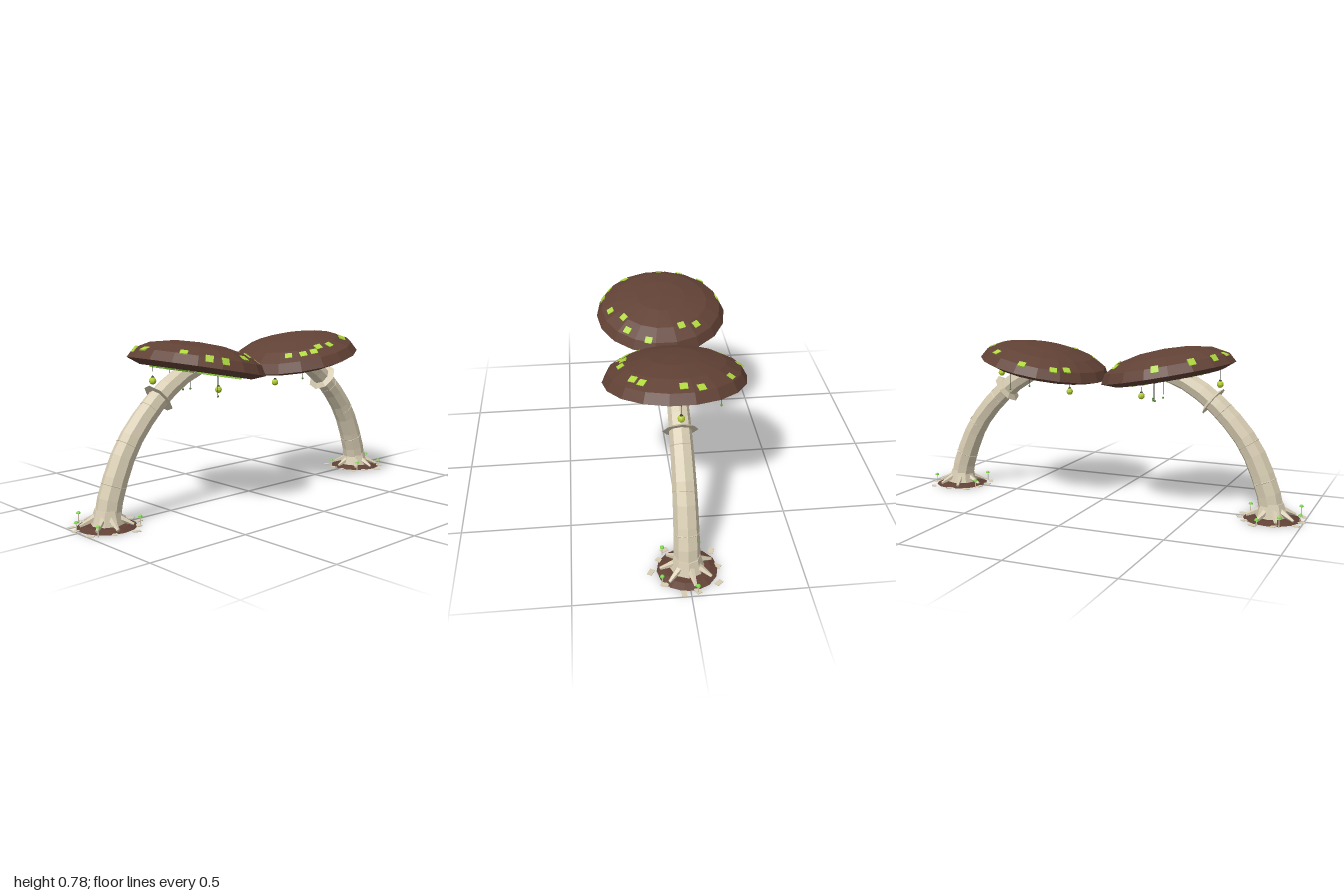
import * as THREE from 'three';

const mat = (name, color) => {
  const m = new THREE.MeshStandardMaterial({ color, flatShading: true });
  m.name = name;
  return m;
};
const M = {
  brown: mat('brown', 0x614135),
  bone: mat('bone', 0xd7ccb2),
  gill: mat('gillGreen', 0x86cc36),
  spot: mat('spotGreen', 0xb0d940),
  lantern: mat('lanternGreen', 0xb4cf32),
  drop: mat('dropGreen', 0x5f9440),
  sprout: mat('sproutGreen', 0x7ad846),
  thread: mat('threadDark', 0x33382a),
};

function add(parent, name, geo, material, pos = [0, 0, 0], rotZ = 0) {
  const mesh = new THREE.Mesh(geo, material);
  mesh.name = name;
  mesh.position.set(...pos);
  mesh.rotation.z = rotZ;
  parent.add(mesh);
  return mesh;
}

const BASE_X = 0.837, CAP = [0.32, 0.655], TILT = 0.19, SIDES = 18;
const DOME = [[0.325, 0], [0.3, 0.045], [0.23, 0.083], [0.12, 0.107], [0, 0.114]];

// Bent stalk path, rising from the ground and leaning inward
const path = new THREE.CatmullRomCurve3([[0.837, 0.02], [0.822, 0.1], [0.725, 0.33], [0.58, 0.5], [0.43, 0.61], [0.32, 0.655]]
  .map(([x, y]) => new THREE.Vector3(x, y, 0)));
const stemRadius = (t) => 0.059 - 0.014 * t;

// Point, tilt and radius where the stalk reaches a height
function stemAt(y) {
  let u = 0;
  while (u < 1 && path.getPointAt(u).y < y) u += 0.002;
  const p = path.getPointAt(u), t = path.getTangentAt(u);
  return { pos: [p.x, p.y, 0], rot: Math.atan2(-t.x, t.y), r: stemRadius(u) };
}

function buildStem(g) {
  // Tapered eight-sided tube
  const rows = 9, geo = new THREE.TubeGeometry(path, rows, 1, 8, false);
  const p = geo.attributes.position, v = new THREE.Vector3();
  for (let i = 0; i < p.count; i++) {
    const t = Math.floor(i / 9) / rows, c = path.getPointAt(t);
    v.fromBufferAttribute(p, i).sub(c).multiplyScalar(stemRadius(t)).add(c);
    p.setXYZ(i, v.x, v.y, v.z);
  }
  add(g, 'stem', geo, M.bone);
  add(g, 'stemFlare', new THREE.CylinderGeometry(0.057, 0.08, 0.078, 8), M.bone, [BASE_X - 0.004, 0.039, 0]);
  // Growth rings, barely proud of the stalk
  for (const y of [0.172, 0.34, 0.485]) {
    const s = stemAt(y);
    add(g, 'stemRing', new THREE.TorusGeometry(s.r, 0.002, 4, 8).rotateX(Math.PI / 2), M.bone, s.pos, s.rot);
  }
  // Collar skirt
  const c = stemAt(0.535);
  add(g, 'collar', new THREE.CylinderGeometry(0.05, 0.079, 0.014, 8), M.bone, c.pos, c.rot);
}

function buildCap(g, spots) {
  const cap = new THREE.Group();
  cap.name = 'cap';
  cap.position.set(CAP[0], CAP[1], 0);
  cap.rotation.z = TILT;
  g.add(cap);
  const profile = [[0.262, -0.024], ...DOME].map(([x, y]) => new THREE.Vector2(x, y));
  add(cap, 'capDome', new THREE.LatheGeometry(profile, SIDES), M.brown);
  add(cap, 'capUnderside', new THREE.CircleGeometry(0.264, SIDES).rotateX(Math.PI / 2), M.gill, [0, -0.023, 0]);
  // Radial gills
  const count = 22;
  for (let i = 0; i < count; i++) {
    const gill = add(cap, 'gill', new THREE.BoxGeometry(0.16, 0.009, 0.005).translate(0.135, 0, 0), M.gill, [0, -0.026, 0]);
    gill.rotation.y = (i + 0.5) / count * Math.PI * 2;
  }
  // Glowing spots lying on the dome facets
  const step = Math.PI * 2 / SIDES, sin = Math.sin(TILT), cos = Math.cos(TILT);
  for (const [dx, dz] of spots) {
    let x = dx, y = 0.06, am = 0, seg = 0;
    for (let k = 0; k < 8; k++) {
      x = (dx + y * sin) / cos;
      const a = Math.atan2(x, dz);
      am = (Math.floor(a / step) + 0.5) * step;
      const r = Math.min(0.322, Math.hypot(x, dz) * Math.cos(a - am) / Math.cos(step / 2));
      seg = DOME.findIndex((d, i) => i < 4 && r >= DOME[i + 1][0]);
      const [r0, y0] = DOME[seg], [r1, y1] = DOME[seg + 1];
      y = y0 + (y1 - y0) * (r0 - r) / (r0 - r1);
    }
    const dr = DOME[seg][0] - DOME[seg + 1][0], dy = DOME[seg + 1][1] - DOME[seg][1];
    const plate = new THREE.BoxGeometry(0.035, 0.006, 0.033).rotateX(Math.atan2(dy, dr)).rotateY(am);
    add(cap, 'glowSpot', plate, M.spot, [x, y, dz]);
  }
}

const underside = (x) => CAP[1] - 0.023 + (x - CAP[0]) * Math.tan(TILT);

function hang(g, x, y, z) {
  const top = underside(x) + 0.005;
  add(g, 'thread', new THREE.CylinderGeometry(0.0012, 0.0012, top - y, 4), M.thread, [x, (top + y) / 2, z]);
}

function buildHanging(g, drops) {
  // Faceted lanterns
  for (const [x, y] of [[0.575, 0.612], [0.185, 0.535]]) {
    hang(g, x, y, 0);
    add(g, 'lantern', new THREE.SphereGeometry(0.0165, 10, 6), M.lantern, [x, y, 0]);
    add(g, 'lanternTop', new THREE.CylinderGeometry(0.004, 0.008, 0.006, 6), M.thread, [x, y + 0.018, 0]);
  }
  // Small drops
  for (const [x, y, z] of drops) {
    hang(g, x, y, z);
    add(g, 'drop', new THREE.SphereGeometry(0.0055, 6, 5), M.drop, [x, y, z]);
  }
}

function buildBase(g, sprouts, turn) {
  const base = new THREE.Group();
  base.name = 'base';
  base.position.x = BASE_X;
  g.add(base);
  add(base, 'soil', new THREE.CylinderGeometry(0.1, 0.133, 0.013, 14), M.brown, [0, 0.007, 0]);
  // Tapering roots
  for (let i = 0; i < 7; i++) {
    const root = new THREE.Group();
    root.name = 'root';
    root.rotation.y = turn + i * Math.PI * 2 / 7 + 0.12 * Math.sin(i * 5);
    base.add(root);
    add(root, 'rootWedge', new THREE.CylinderGeometry(0.007, 0.018, 0.085, 5), M.bone, [0.079, 0.029, 0], -Math.PI / 2 - 0.42);
  }
  // Flat chips scattered round the soil
  for (let i = 0; i < 11; i++) {
    const a = turn + i * 0.571 + 0.2 * Math.sin(i * 7), r = 0.145 + 0.014 * Math.sin(i * 3.7 + turn);
    const chip = add(base, 'chip', new THREE.BoxGeometry(0.034, 0.003, 0.022), M.bone,
      [r * Math.cos(a), 0.002, r * Math.sin(a)]);
    chip.rotation.y = i * 1.3;
  }
  // Tiny sprouting mushrooms
  for (const [x, z, h] of sprouts) {
    add(base, 'sproutStalk', new THREE.CylinderGeometry(0.002, 0.003, h, 5), M.bone, [x, h / 2, z]);
    add(base, 'sproutCap', new THREE.SphereGeometry(0.0105, 7, 3, 0, Math.PI * 2, 0, Math.PI / 2), M.sprout, [x, h, z]);
    add(base, 'sproutCapBottom', new THREE.CircleGeometry(0.0105, 7).rotateX(Math.PI / 2), M.sprout, [x, h, z]);
  }
}

function buildMushroom(name, d) {
  const g = new THREE.Group();
  g.name = name;
  buildStem(g);
  buildCap(g, d.spots);
  buildHanging(g, d.drops);
  buildBase(g, d.sprouts, d.turn);
  return g;
}

export function createModel() {
  const model = new THREE.Group();
  model.name = 'mushroomArch';
  const left = buildMushroom('leftMushroom', {
    turn: 0.2,
    spots: [[-0.03, -0.295], [-0.17, -0.245], [-0.215, -0.195], [0.145, -0.225], [0.25, -0.085], [0.246, -0.01],
      [0.187, 0.16], [0.15, 0.195], [0, 0.24], [-0.064, 0.225], [-0.107, 0.235], [-0.155, 0.21], [-0.205, 0.16]],
    drops: [[0.23, 0.565, 0.148], [0.345, 0.57, -0.125], [0.41, 0.56, -0.2]],
    sprouts: [[0.142, -0.03, 0.036], [-0.125, -0.065, 0.035], [-0.1, 0.1, 0.042], [0.07, 0.115, 0.034]],
  });
  // The partner is turned to face it, so the arch closes at the middle
  const right = buildMushroom('rightMushroom', {
    turn: 0.6,
    spots: [[0.04, 0.295], [0.187, 0.225], [0.26, 0.123], [0.28, 0.02], [-0.205, 0.155], [-0.225, 0.08], [-0.28, -0.085],
      [-0.21, -0.182], [-0.14, -0.195], [-0.06, -0.257], [0.08, -0.29], [0.144, -0.257], [0.214, -0.17]],
    drops: [[0.3, 0.535, 0.125], [0.265, 0.52, -0.085], [0.28, 0.54, 0.095], [0.32, 0.55, 0.2]],
    sprouts: [[0.115, -0.105, 0.042], [0.135, 0.03, 0.036], [-0.12, -0.08, 0.035], [0.06, 0.13, 0.042], [-0.04, 0.138, 0.024]],
  });
  right.rotation.y = Math.PI;
  right.position.x = -0.015;
  model.add(left, right);
  return model;
}
